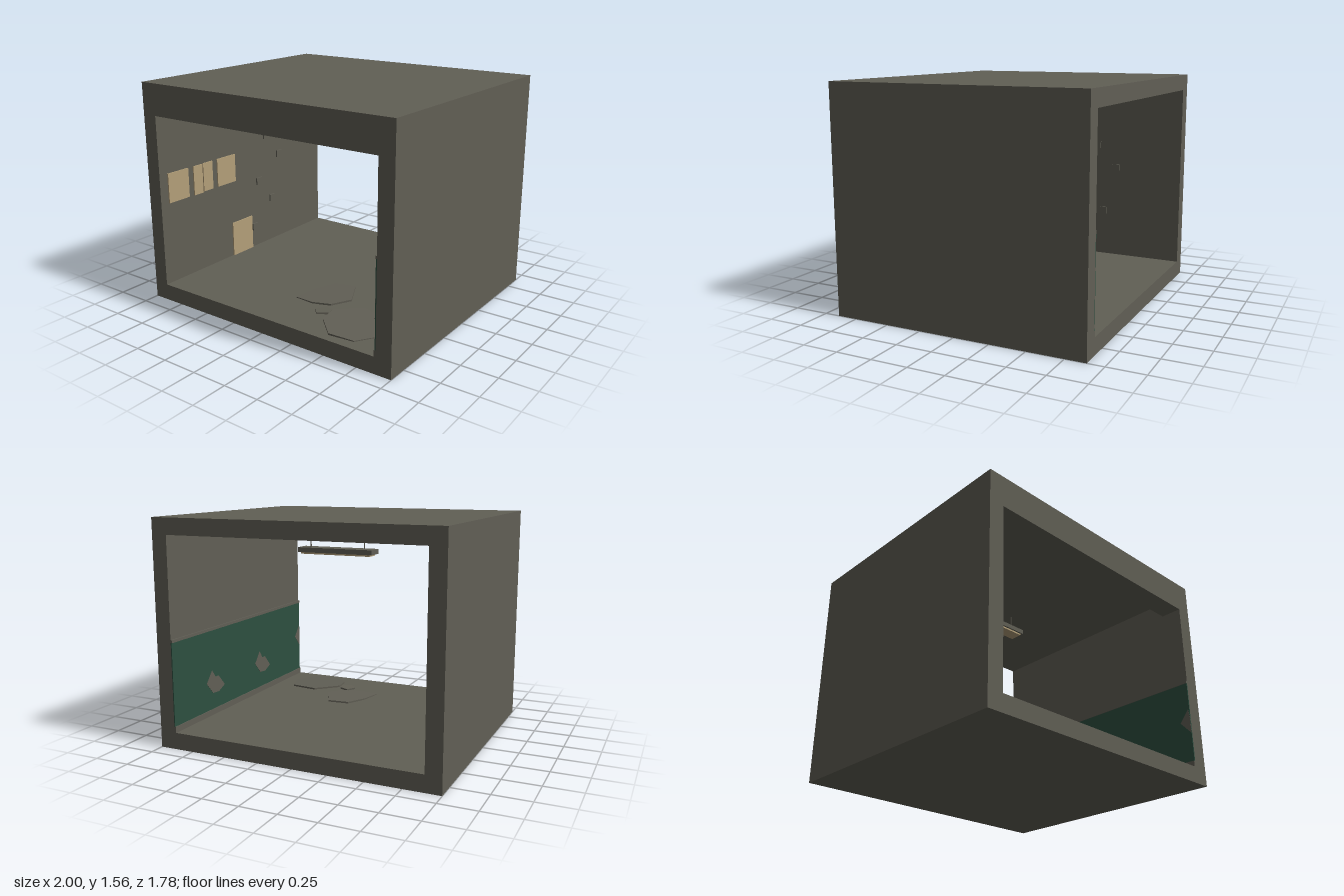
import * as THREE from 'three';

const mat = (name, color) => {
  const m = new THREE.MeshStandardMaterial({ color });
  m.name = name;
  return m;
};

export function createModel() {
  const concrete = mat('grey concrete', 0x615f55);
  const paper = mat('faded paper', 0xb39f79);
  const green = mat('dark green paint', 0x2d4f40);

  const room = new THREE.Group();
  room.name = 'room';
  const IN = 0.89, FLOOR = 0.115, CEILING = 1.448, LINTEL = 1.34, Z = 0.89;

  const add = (name, geometry, material) => {
    const mesh = new THREE.Mesh(geometry, material);
    mesh.name = name;
    room.add(mesh);
    return mesh;
  };
  // box given by its limits on each axis
  const block = (name, material, [x0, x1], [y0, y1], [z0, z1]) =>
    add(name, new THREE.BoxGeometry(x1 - x0, y1 - y0, z1 - z0), material)
      .position.set((x0 + x1) / 2, (y0 + y1) / 2, (z0 + z1) / 2);
  const polygon = (pts) => new THREE.Shape(pts.map(([x, y]) => new THREE.Vector2(x, y)));

  // Shell: walls, floor and ceiling, open at front and back
  const shell = polygon([[-1, 0], [1, 0], [1, 1.56], [-1, 1.56]]);
  shell.holes.push(polygon([[-IN, FLOOR], [-IN, CEILING], [IN, CEILING], [IN, FLOOR]]));
  const shellGeo = new THREE.ExtrudeGeometry(shell, { depth: 2 * Z, bevelEnabled: false });
  add('shell', shellGeo.translate(0, 0, -Z), concrete);
  block('frontLintel', concrete, [-IN, IN], [LINTEL, CEILING], [0.74, Z]);

  // Painted lower wall with rail and skirting
  block('greenDado', green, [0.883, IN], [0.155, 0.735], [-Z, Z]);
  block('dadoRail', concrete, [0.879, IN], [0.735, 0.755], [-Z, Z]);
  block('skirting', concrete, [0.877, IN], [FLOOR, 0.157], [-Z, Z]);

  // Patches of bare wall where the paint has flaked
  const flake = [[-0.04, 0.095], [0, 0.037], [0.04, 0.038], [0.115, -0.045],
    [0.04, -0.08], [-0.035, -0.075], [-0.11, 0.008]];
  for (const [z, y] of [[-0.4, 0.35], [0.26, 0.35], [0.92, 0.44]]) {
    const pts = flake.map(([a, b]) => [Math.min(a + z, Z), b + y]);
    const geo = new THREE.ExtrudeGeometry(polygon(pts), { depth: 0.002, bevelEnabled: false });
    geo.rotateY(-Math.PI / 2).translate(0.883, 0, 0);
    add('flakedPaint', geo, concrete);
  }

  // Notices and hatch on the opposite wall
  for (const [z0, z1, y0, y1] of [
    [0.63, 0.82, 0.708, 0.922], [0.492, 0.58, 0.705, 0.92], [0.39, 0.484, 0.71, 0.922],
    [0.15, 0.34, 0.71, 0.922], [-0.02, 0.2, FLOOR, 0.38],
  ]) block('notice', paper, [-IN, -0.881], [y0, y1], [z0, z1]);

  // Small wall fittings
  for (const [z, y] of [[-0.12, 0.646], [-0.275, 0.47], [-0.06, 0.28], [-0.214, 1], [-0.37, 0.82]])
    block('wallFitting', concrete, [-IN, -0.879], [y - 0.027, y + 0.027], [z - 0.03, z + 0.03]);

  // Hanging lamp
  block('lampBody', concrete, [-0.277, 0.273], [1.305, 1.338], [-0.25, -0.135]);
  block('lampDiffuser', paper, [-0.257, 0.255], [1.293, 1.305], [-0.238, -0.147]);
  for (const x of [-0.2, 0.2]) {
    const rod = add('lampRod', new THREE.CylinderGeometry(0.004, 0.004, 0.11, 6), concrete);
    rod.position.set(x, 1.393, -0.192);
  }

  // Broken slabs lying tilted on the floor: outline in x and z, tilt about x and z
  const slabs = [
    { at: [0.18, 0.35], tilt: [0.02, 0.03],
      pts: [[0, 0.52], [0.14, 0.53], [0.27, 0.49], [0.35, 0.36], [0.25, 0.17], [0.1, 0.2], [0.03, 0.36]] },
    { at: [0.55, 0.62], tilt: [0.02, -0.04],
      pts: [[0.34, 0.56], [0.36, 0.7], [0.5, 0.83], [0.68, 0.81], [0.78, 0.66], [0.72, 0.48], [0.5, 0.42]] },
    { at: [0.28, 0.59], tilt: [-0.04, 0.05],
      pts: [[0.22, 0.6], [0.27, 0.65], [0.34, 0.61], [0.33, 0.55], [0.26, 0.53]] },
  ];
  for (const { at: [x, z], tilt, pts } of slabs) {
    const outline = polygon(pts.map(([px, pz]) => [px - x, z - pz]));
    const geo = new THREE.ExtrudeGeometry(outline, { depth: 0.012, bevelEnabled: false });
    const slab = add('brokenSlab', geo.rotateX(-Math.PI / 2), concrete);
    slab.position.set(x, FLOOR + 0.003, z);
    slab.rotation.set(tilt[0], 0, tilt[1]);
  }
  return room;
}
